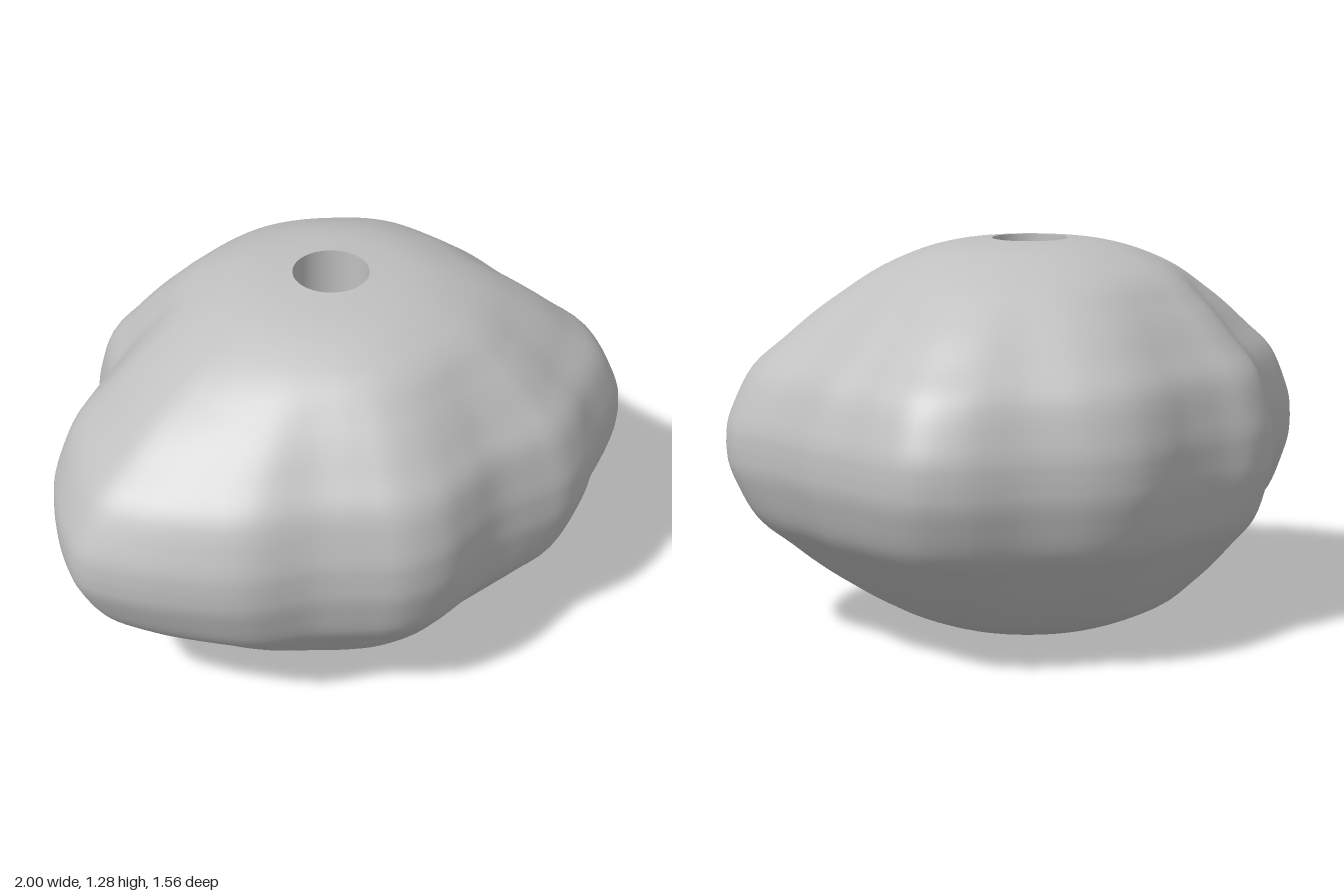
import * as THREE from 'three';

const AXIS = new THREE.Vector2(0.06, 0.01); // centre of the hole (x, z)
const HOLE = 0.122;
const MID = 0.64;
const SEGMENTS = 180;

// Widest outline of the lobed body, as x, z pairs
const OUTLINE = [
  [1, 0.32], [0.98, 0.4], [0.92, 0.5], [0.81, 0.575], [0.68, 0.64], [0.57, 0.71], [0.44, 0.755],
  [0.33, 0.745], [0.17, 0.727], [0.03, 0.755], [-0.1, 0.777], [-0.235, 0.75], [-0.35, 0.67],
  [-0.465, 0.59], [-0.66, 0.505], [-0.8, 0.375], [-0.92, 0.23], [-0.995, 0.09], [-0.975, -0.02],
  [-0.9, -0.19], [-0.8, -0.33], [-0.67, -0.405], [-0.54, -0.47], [-0.47, -0.57], [-0.395, -0.675],
  [-0.28, -0.727], [-0.13, -0.727], [0.005, -0.742], [0.14, -0.775], [0.255, -0.785], [0.38, -0.755],
  [0.57, -0.655], [0.755, -0.58], [0.87, -0.48], [0.91, -0.35], [0.93, -0.21], [0.96, -0.08],
  [0.958, 0.05], [0.965, 0.14], [0.985, 0.22],
];

// Upper profile: height above the middle, round radius, share of the lobed outline
const PROFILE = [
  [0, 0, 1], [0.06, 0.01, 0.985], [0.13, 0.04, 0.93], [0.24, 0.11, 0.8], [0.33, 0.185, 0.62],
  [0.4, 0.24, 0.48], [0.46, 0.295, 0.34], [0.55, 0.375, 0.11], [0.6, 0.32, 0.04],
  [0.626, 0.245, 0.01], [0.64, HOLE, 0],
];

// Joins closed rings of points into a smooth skin
function loft(rings, material, name) {
  const n = rings[0].length;
  const index = [];
  for (let j = 0; j < rings.length - 1; j++) {
    for (let i = 0; i < n; i++) {
      const a = j * n + i, b = j * n + (i + 1) % n;
      index.push(a, a + n, b, b, a + n, b + n);
    }
  }
  const geometry = new THREE.BufferGeometry().setFromPoints(rings.flat());
  geometry.setIndex(index);
  geometry.computeVertexNormals();
  const mesh = new THREE.Mesh(geometry, material);
  mesh.name = name;
  return mesh;
}

export function createModel() {
  const group = new THREE.Group();
  group.name = 'lobedBead';
  const grey = new THREE.MeshStandardMaterial({ color: 0xc0c0c0 });
  grey.name = 'grey';

  const outline = new THREE.CatmullRomCurve3(
    OUTLINE.map(([x, z]) => new THREE.Vector3(x - AXIS.x, 0, z - AXIS.y)), true, 'centripetal');
  const spokes = outline.getSpacedPoints(SEGMENTS).slice(0, SEGMENTS);

  // A ring at height y, between a circle and the lobed outline
  const ring = (y, round, lobed) => spokes.map((p) => {
    const s = lobed + round / p.length();
    return new THREE.Vector3(AXIS.x + p.x * s, y, AXIS.y + p.z * s);
  });

  // Smooth the upper profile and mirror it downwards
  const upper = new THREE.CatmullRomCurve3(PROFILE.map((p) => new THREE.Vector3(...p)), false, 'centripetal')
    .getPoints(40);
  const rings = [
    ...upper.slice(1).reverse().map((p) => ring(MID - p.x, p.y, p.z)),
    ...upper.map((p) => ring(MID + p.x, p.y, p.z)),
  ];
  group.add(loft(rings, grey, 'body'));

  // Wall of the hole, facing inwards
  group.add(loft([ring(2 * MID, HOLE, 0), ring(0, HOLE, 0)], grey, 'holeWall'));
  return group;
}
